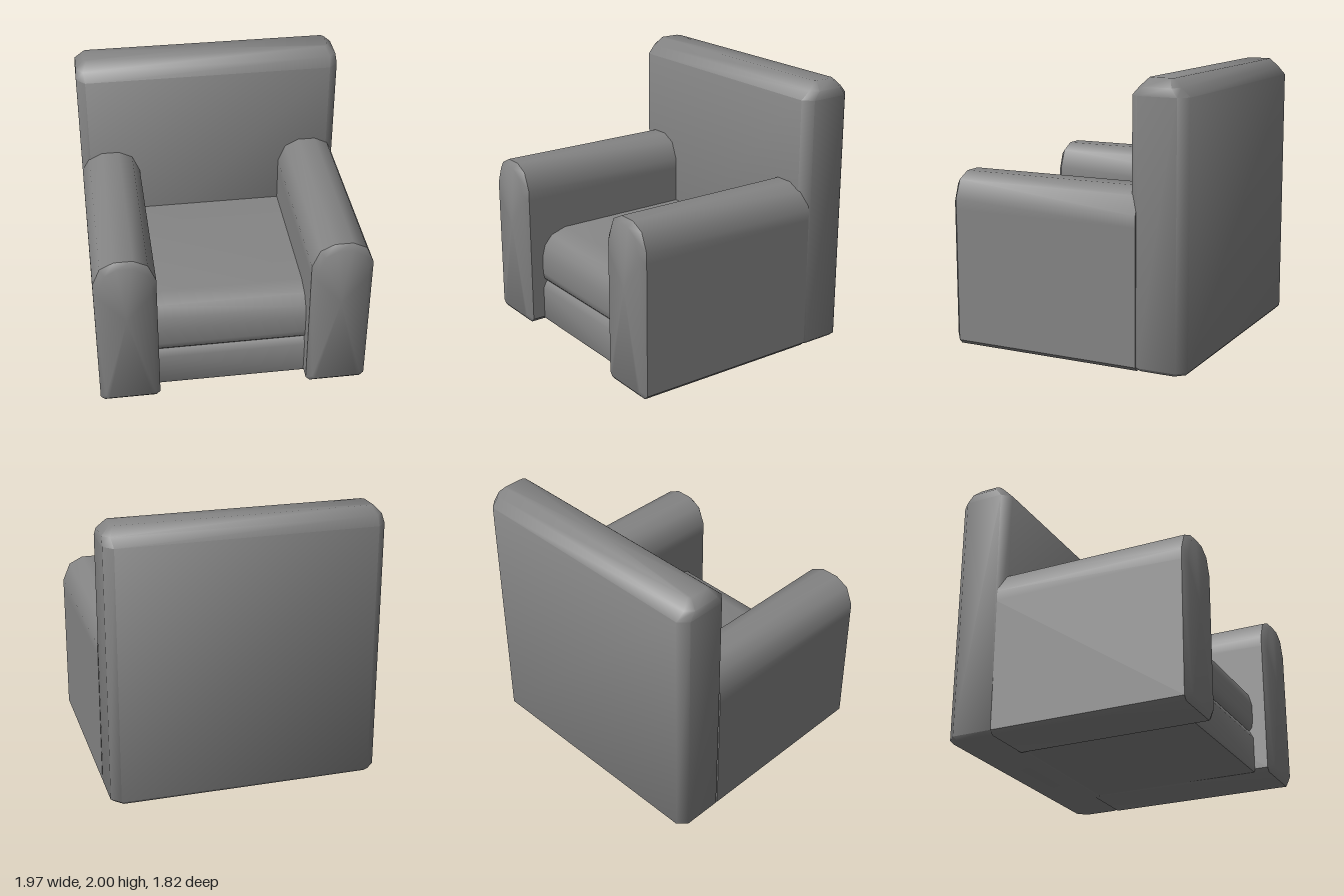
import * as THREE from 'three';
import { toCreasedNormals } from 'three/addons/utils/BufferGeometryUtils.js';

const material = new THREE.MeshStandardMaterial({ color: 0x848484 });

// Skin a stack of counter-clockwise convex rings, with both ends capped.
// rings: [{ points: [[u, v], ...], w }]; place maps (u, v, w) to x, y, z.
function loft(name, rings, crease, place) {
  const n = rings[0].points.length;
  const positions = [];
  const index = [];
  for (const { points, w } of rings) {
    for (const [u, v] of points) positions.push(...place(u, v, w));
  }
  for (let r = 0; r < rings.length - 1; r++) {
    for (let k = 0; k < n; k++) {
      const a = r * n + k;
      const b = r * n + (k + 1) % n;
      index.push(a, b, b + n, a, b + n, a + n);
    }
  }
  // Caps fan out from the middle of the first and last ring
  const end = (rings.length - 1) * n;
  const middle = end + n;
  for (const { points, w } of [rings[0], rings[rings.length - 1]]) {
    const u = points.reduce((sum, p) => sum + p[0], 0) / n;
    const v = points.reduce((sum, p) => sum + p[1], 0) / n;
    positions.push(...place(u, v, w));
  }
  for (let k = 0; k < n; k++) {
    const next = (k + 1) % n;
    index.push(middle, next, k, middle + 1, end + k, end + next);
  }
  const geometry = new THREE.BufferGeometry();
  geometry.setAttribute('position', new THREE.Float32BufferAttribute(positions, 3));
  geometry.setIndex(index);
  const mesh = new THREE.Mesh(toCreasedNormals(geometry, crease), material);
  mesh.name = name;
  return mesh;
}

// Rectangle with chamfered corners, counter-clockwise
function chamferedRect(hu, hv, c) {
  return [
    [hu, c - hv], [hu, hv - c], [hu - c, hv], [c - hu, hv],
    [-hu, hv - c], [-hu, c - hv], [c - hu, -hv], [hu - c, -hv],
  ];
}

// Arm: arched outline run front to back; the front bevel is soft towards
// the front face and crisp towards the sides
function arm(name, x) {
  const half = [[0.19, 0], [0.22, 0.03], [0.22, 1], [0.22, 1.08], [0.165, 1.21], [0.065, 1.26]];
  const outline = [...half, ...half.map(([u, v]) => [-u, v]).reverse()];
  const inset = outline.map(([u, v]) => [u * 0.82, 0.63 + (v - 0.63) * 0.937]);
  const mesh = loft(name, [
    { points: outline, w: -0.545 },
    { points: outline, w: 0.874 },
    { points: inset, w: 0.91 },
  ], Math.PI / 4, (u, v, w) => [u, v, w]);
  mesh.position.x = x;
  return mesh;
}

// Seat part: side outline given as [z, y], run across between the arms
function seatPart(name, outline) {
  const points = outline.map(([z, y]) => [-z, y]);
  return loft(name, [{ points, w: -0.56 }, { points, w: 0.56 }], 0.9,
    (u, v, w) => [w, v, -u]);
}

export function createModel() {
  const model = new THREE.Group();
  model.name = 'armchair';

  // Tall back with chamfered edges, stacked from the floor up
  const back = loft('backrest', [
    { points: chamferedRect(0.96, 0.185, 0.06), w: 0.005 },
    { points: chamferedRect(0.985, 0.208, 0.065), w: 0.03 },
    { points: chamferedRect(0.985, 0.208, 0.065), w: 1.88 },
    { points: chamferedRect(0.98, 0.149, 0.05), w: 1.94 },
    { points: chamferedRect(0.92, 0.09, 0.02), w: 2 },
  ], 0.9, (u, v, w) => [u, w, -v]);
  back.position.z = -0.7;
  model.add(back);

  model.add(arm('leftArm', 0.765), arm('rightArm', -0.765));

  // Base and cushion with rounded, flush fronts
  model.add(seatPart('seatBase', [
    [0.765, 0.01], [-0.6, 0.01], [-0.6, 0.34], [0.69, 0.34],
    [0.75, 0.32], [0.775, 0.27], [0.775, 0.03],
  ]));
  model.add(seatPart('seatCushion', [
    [0.735, 0.32], [-0.6, 0.32], [-0.6, 0.73], [0.57, 0.73],
    [0.69, 0.69], [0.75, 0.62], [0.775, 0.53], [0.775, 0.4], [0.765, 0.35],
  ]));

  return model;
}
